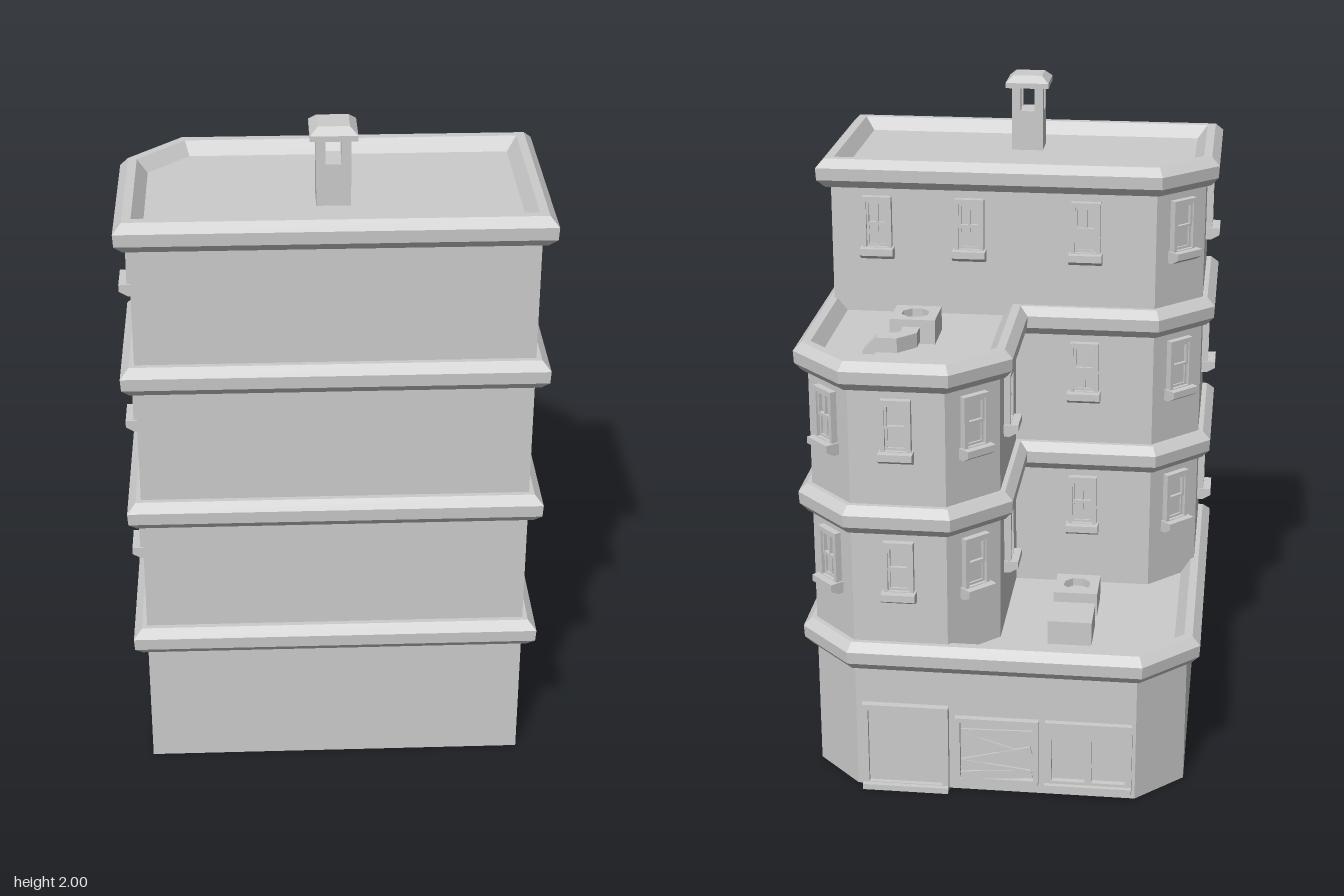
import * as THREE from 'three';

const material = new THREE.MeshStandardMaterial({ color: 0xcccccc, flatShading: true });

function add(parent, name, geometry, x = 0, y = 0, z = 0) {
  const mesh = new THREE.Mesh(geometry, material);
  mesh.name = name;
  mesh.position.set(x, y, z);
  parent.add(mesh);
  return mesh;
}

// Box given by its centre in x and z and by its bottom
function box(parent, name, w, h, d, x, y, z) {
  return add(parent, name, new THREE.BoxGeometry(w, h, d), x, y + h / 2, z);
}

const toShape = pts => new THREE.Shape(pts.map(([a, b]) => new THREE.Vector2(a, b)));
const extrude = (shape, depth) => new THREE.ExtrudeGeometry(shape, { depth, bevelEnabled: false });

// Upright prism over a plan outline of [x, z] points, with optional holes
function prism(pts, y0, y1, holes = []) {
  const flip = p => p.map(([x, z]) => [x, -z]);
  const shape = toShape(flip(pts));
  holes.forEach(h => shape.holes.push(toShape(flip(h))));
  return extrude(shape, y1 - y0).rotateX(-Math.PI / 2).translate(0, y0, 0);
}

// Panel frame: a rectangle on the wall with holes, facing +z
const rect = (x0, y0, x1, y1) => [[x0, y0], [x1, y0], [x1, y1], [x0, y1]];
function frame(outer, holes, depth) {
  const shape = toShape(outer);
  holes.forEach(h => shape.holes.push(toShape(h)));
  return extrude(shape, depth);
}

// Move every edge of a plan outline outward by d, with mitred corners
function offset(pts, d) {
  const n = pts.length;
  const normal = (a, b) => {
    const dx = b[0] - a[0], dz = b[1] - a[1], l = Math.hypot(dx, dz);
    return [-dz / l, dx / l];
  };
  return pts.map((p, i) => {
    const n1 = normal(pts[(i + n - 1) % n], p), n2 = normal(p, pts[(i + 1) % n]);
    const k = d / (1 + n1[0] * n2[0] + n1[1] * n2[1]);
    return [p[0] + (n1[0] + n2[0]) * k, p[1] + (n1[1] + n2[1]) * k];
  });
}

// Moulding and parapet swept around an outline; profile is [outset, height]
const CORNICE = [[-0.005, 0], [0.015, 0], [0.037, 0.025], [0.039, 0.062],
  [0.015, 0.087], [-0.01, 0.087], [-0.04, 0.05]];
function cornice(pts, y) {
  const rings = CORNICE.map(([d, h]) => offset(pts, d).map(([x, z]) => [x, y + h, z]));
  const out = [];
  for (let j = 0; j < rings.length - 1; j++) {
    for (let i = 0; i < pts.length; i++) {
      const k = (i + 1) % pts.length;
      const a = rings[j][i], b = rings[j][k], c = rings[j + 1][k], d = rings[j + 1][i];
      out.push(...a, ...b, ...c, ...a, ...c, ...d);
    }
  }
  const g = new THREE.BufferGeometry();
  g.setAttribute('position', new THREE.Float32BufferAttribute(out, 3));
  g.computeVertexNormals();
  return g;
}

// Sash window with a bracketed sill; four panes or two
function makeWindow(panes) {
  const g = new THREE.Group();
  g.name = 'window';
  const sill = toShape([[0, 0], [0.018, 0], [0.043, 0.015], [0.043, 0.036], [0, 0.036]]);
  add(g, 'sill', extrude(sill, 0.1).rotateY(-Math.PI / 2).translate(0.05, 0, 0));
  add(g, 'windowFrame', frame(rect(-0.044, 0.03, 0.044, 0.192), [rect(-0.032, 0.038, 0.032, 0.178)], 0.02));
  box(g, 'glass', 0.066, 0.142, 0.003, 0, 0.037, 0.0015);
  add(g, 'upperSash', frame(rect(-0.032, 0.104, 0.032, 0.178), [rect(-0.025, 0.113, 0.025, 0.171)], 0.014));
  add(g, 'lowerSash', frame(rect(-0.032, 0.036, 0.032, 0.108), [rect(-0.025, 0.045, 0.025, 0.102)], 0.009));
  if (panes === 4) {
    box(g, 'upperBar', 0.007, 0.06, 0.012, 0, 0.112, 0.006);
    box(g, 'lowerBar', 0.007, 0.06, 0.007, 0, 0.044, 0.0035);
  }
  return g;
}

// Three bays of the shop front, seen along +z
function makeShopFront() {
  const g = new THREE.Group();
  g.name = 'shopFront';
  // Wide doorway
  add(g, 'doorFrame', frame(rect(-0.4, 0.0, -0.14, 0.28), [rect(-0.382, 0.02, -0.158, 0.262)], 0.022));
  box(g, 'door', 0.226, 0.245, 0.008, -0.27, 0.018, 0.004);
  box(g, 'doorStep', 0.26, 0.018, 0.038, -0.27, 0, 0.019);
  // Boarded opening
  add(g, 'boardedFrame', frame(rect(-0.12, 0.035, 0.13, 0.25), [rect(-0.105, 0.05, 0.115, 0.235)], 0.02));
  [[0.2, 0.02], [0.155, -0.3], [0.125, 0.25], [0.085, -0.12], [0.066, 0.08]].forEach(([y, tilt], i) => {
    box(g, 'plank', 0.215, 0.026, 0.006, 0.005, y - 0.013, 0.009 + 0.002 * i).rotation.z = tilt;
  });
  // Pair of lights with clipped heads
  const light = x => [[x, 0.055], [x + 0.1, 0.055], [x + 0.1, 0.195], [x + 0.075, 0.23], [x + 0.025, 0.23], [x, 0.195]];
  add(g, 'pairedWindowFrame', frame(rect(0.15, 0.04, 0.41, 0.25), [light(0.17), light(0.29)], 0.018));
  box(g, 'pairedWindowSill', 0.26, 0.018, 0.032, 0.28, 0.028, 0.016);
  return g;
}

// Square fan box with an octagonal well in its top
function fanUnit(parent, x, z, y, h) {
  const s = 0.067;
  const ring = Array.from({ length: 8 }, (_, i) => {
    const a = (i + 0.5) * Math.PI / 4;
    return [x + 0.042 * Math.cos(a), z + 0.042 * Math.sin(a)];
  });
  const square = [[x - s, z + s], [x + s, z + s], [x + s, z - s], [x - s, z - s]];
  add(parent, 'fanHousing', prism(square, y, y + h, [ring]));
  add(parent, 'fanWell', prism(ring, y, y + h - 0.025));
}

export function createModel() {
  const model = new THREE.Group();
  model.name = 'cornerBuilding';

  const W = 0.56, F = 0.563, B = -0.553, C = 0.14;
  const ground = [[-W, F], [W, F], [W, B + C], [W - C, B], [C - W, B], [-W, B + C]];
  const middle = [[-W, F], [W, F], [W, B + C], [W - C, B], [C, B], [0, B + C], [0, 0], [C - W, 0], [-W, C]];
  const top = [[-W, F], [W, F], [W, 0], [C - W, 0], [-W, C]];

  // Storeys, each crowned by a cornice with its roof sunk behind the parapet
  const STEP = 0.44, BASE = 0.398;
  [ground, middle, middle, top].forEach((plan, i) => {
    const y = BASE + STEP * i;
    add(model, 'storey', prism(plan, i ? y - STEP + 0.04 : 0, y + 0.05));
    add(model, 'cornice', cornice(plan, y));
  });

  // Windows: x, z, outward normal, panes, storeys
  const c = C / 2;
  const spots = [
    [-0.21, 0, 0, -1, 4, [1, 2, 3]],
    [c - W, c, -1, -1, 2, [1, 2, 3]],
    [-W, 0.355, -1, 0, 2, [1, 2, 3]],
    [0, -0.275, -1, 0, 2, [1, 2]],
    [c, B + c, -1, -1, 2, [1, 2]],
    [0.28, B, 0, -1, 2, [1, 2]],
    [W - c, B + c, 1, -1, 4, [1, 2]],
    [0.14, 0, 0, -1, 4, [3]],
    [0.42, 0, 0, -1, 4, [3]],
  ];
  spots.forEach(([x, z, nx, nz, panes, storeys]) => storeys.forEach(s => {
    const w = makeWindow(panes);
    w.position.set(x, 0.18 + STEP * s, z);
    w.rotation.y = Math.atan2(nx, nz);
    model.add(w);
  }));

  const shop = makeShopFront();
  shop.position.z = B;
  shop.rotation.y = Math.PI;
  model.add(shop);

  // Chimney with four corner posts under a bevelled cap
  const chimney = new THREE.Group();
  chimney.name = 'chimney';
  chimney.position.set(0, 0, 0.357);
  model.add(chimney);
  box(chimney, 'shaft', 0.096, 0.15, 0.096, 0, 1.74, 0);
  for (const x of [-1, 1]) for (const z of [-1, 1]) {
    box(chimney, 'post', 0.026, 0.08, 0.026, x * 0.035, 1.888, z * 0.035);
  }
  box(chimney, 'capSlab', 0.132, 0.016, 0.132, 0, 1.964, 0);
  const cap = new THREE.CylinderGeometry(0.088 / Math.SQRT2, 0.132 / Math.SQRT2, 0.02, 4).rotateY(Math.PI / 4);
  add(chimney, 'capTop', cap, 0, 1.99, 0);

  // Plant on the low roof
  const low = BASE + 0.045, high = low + 2 * STEP;
  fanUnit(model, -0.21, -0.178, low, 0.08);
  box(model, 'plantBox', 0.132, 0.08, 0.134, -0.21, low, -0.377);
  box(model, 'plantPipe', 0.048, 0.045, 0.07, -0.21, low, -0.277);

  // Fan and bent duct on the wing roof
  fanUnit(model, 0.272, -0.225, high, 0.078);
  const duct = [[0.25, -0.285], [0.3, -0.285], [0.3, -0.335], [0.315, -0.35],
    [0.36, -0.35], [0.36, -0.4], [0.3, -0.4], [0.25, -0.345]];
  add(model, 'duct', prism(duct, high + 0.012, high + 0.056));
  const spout = toShape([[0.36, 0.012], [0.375, 0], [0.4, 0], [0.4, 0.016], [0.36, 0.056]]);
  add(model, 'ductSpout', extrude(spout, 0.05), 0, high, -0.4);

  return model;
}
